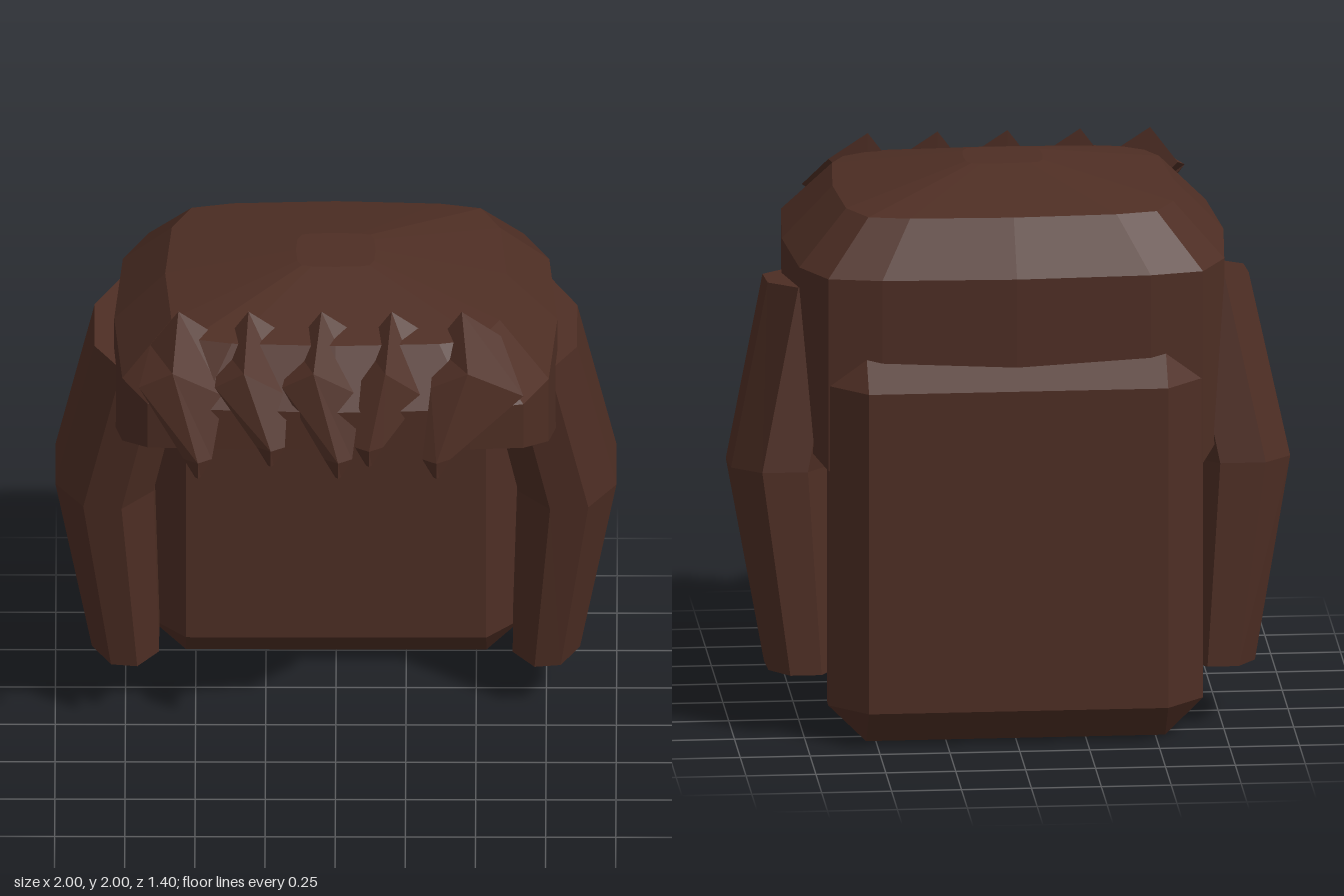
import * as THREE from 'three';
import { ConvexGeometry } from 'three/addons/geometries/ConvexGeometry.js';

// Closed solid through a list of equal-length rings of [x, y, z] points
function loft(rings) {
  const n = rings[0].length, tris = [];
  for (let r = 0; r < rings.length - 1; r++) {
    for (let i = 0; i < n; i++) {
      const j = (i + 1) % n, a = rings[r], b = rings[r + 1];
      tris.push([a[i], a[j], b[j]], [a[i], b[j], b[i]]);
    }
  }
  const first = rings[0], last = rings[rings.length - 1];
  for (let i = 1; i < n - 1; i++) {
    tris.push([first[0], first[i + 1], first[i]], [last[0], last[i], last[i + 1]]);
  }
  // Turn every face outward when the rings run the other way round
  let volume = 0;
  for (const [a, b, c] of tris) {
    volume += new THREE.Vector3(...a).dot(new THREE.Vector3(...b).cross(new THREE.Vector3(...c)));
  }
  const pos = tris.flatMap(([a, b, c]) => (volume < 0 ? [a, c, b] : [a, b, c]).flat());
  const geo = new THREE.BufferGeometry();
  geo.setAttribute('position', new THREE.Float32BufferAttribute(pos, 3));
  geo.computeVertexNormals();
  return geo;
}

export function createModel() {
  const group = new THREE.Group();
  const hair = new THREE.MeshStandardMaterial({ color: 0x4e2e24 });
  hair.name = 'brown hair';
  hair.flatShading = true;
  const add = (name, geo) => {
    const mesh = new THREE.Mesh(geo, hair);
    mesh.name = name;
    group.add(mesh);
  };

  // Crown: rounded-square outline, domed above, cut by a slanted plane below
  const quarter = [[0, 0.63], [0.48, 0.61], [0.67, 0.57], [0.76, 0.4]];
  const outline = [
    ...quarter, [0.79, 0],
    ...quarter.slice(1).reverse().map(([x, z]) => [x, -z]),
    ...quarter.map(([x, z]) => [-x, -z]), [-0.79, 0],
    ...quarter.slice(1).reverse().map(([x, z]) => [-x, z]),
  ];
  const level = (s, y) => outline.map(([x, z]) => [x * s, y, z * s]);
  add('crown', loft([
    outline.map(([x, z]) => [x, 1.264 + 0.46 * z, z]),
    level(1, 1.71), level(0.77, 1.9), level(0.18, 2),
  ]));

  // Back hair: box with wide chamfers on all edges
  const half = [0.67, 0.725, 0.165], cut = 0.135, corners = [];
  for (const sx of [-1, 1]) for (const sy of [-1, 1]) for (const sz of [-1, 1]) {
    for (let axis = 0; axis < 3; axis++) {
      const [x, y, z] = half.map((h, k) => (k === axis ? h : h - cut));
      corners.push(new THREE.Vector3(sx * x, 0.725 + sy * y, -0.535 + sz * z));
    }
  }
  add('backHair', new ConvexGeometry(corners));

  // Side locks: eight-sided, bowed outward at mid height
  const oct = [[1, -0.42], [1, 0.45], [0.43, 0.95], [-0.35, 1], [-1, 0.6], [-1, -0.42], [-0.5, -1], [0.43, -1]];
  // [centre x, half width, centre z, half depth, y, tilt]
  const lockRings = [
    [0.75, 0.12, -0.3, 0.22, 0.215, 0.02],
    [0.825, 0.175, -0.24, 0.26, 0.95, 0.03],
    [0.69, 0.17, -0.135, 0.265, 1.6, 0.035],
  ];
  for (const side of [-1, 1]) {
    add(side > 0 ? 'leftLock' : 'rightLock', loft(lockRings.map(([cx, w, cz, d, y, tilt]) =>
      oct.map(([u, v]) => [side * (cx + u * w), y - v * tilt, cz + v * d]))));
  }

  // Fringe: pointed tufts [root x, left x, right x, tip x, tip y]
  const tufts = [
    [-0.56, -0.7, -0.4, -0.49, 1.47],
    [-0.31, -0.43, -0.17, -0.23, 1.52],
    [-0.05, -0.19, 0.09, 0.01, 1.47],
    [0.2, 0.09, 0.31, 0.12, 1.52],
    [0.45, 0.34, 0.67, 0.36, 1.47],
  ];
  tufts.forEach(([a, l, r, t, ty], i) => {
    const m = l + (r - l) * 0.4;
    add('fringeTuft' + (i + 1), loft([
      [[a, 1.985, 0.39], [a + 0.14, 1.89, 0.4], [a, 1.75, 0.4], [a - 0.1, 1.85, 0.4]],
      [[m, 1.86, 0.61], [r, 1.75, 0.58], [m, 1.7, 0.45], [l, 1.79, 0.59]],
      [[t, ty + 0.07, 0.7], [t + 0.05, ty + 0.07, 0.67], [t, ty + 0.09, 0.64], [t - 0.05, ty + 0.07, 0.67]],
      [[t, ty, 0.69], [t + 0.01, ty, 0.68], [t, ty, 0.67], [t - 0.01, ty, 0.68]],
    ]));
  });

  return group;
}
